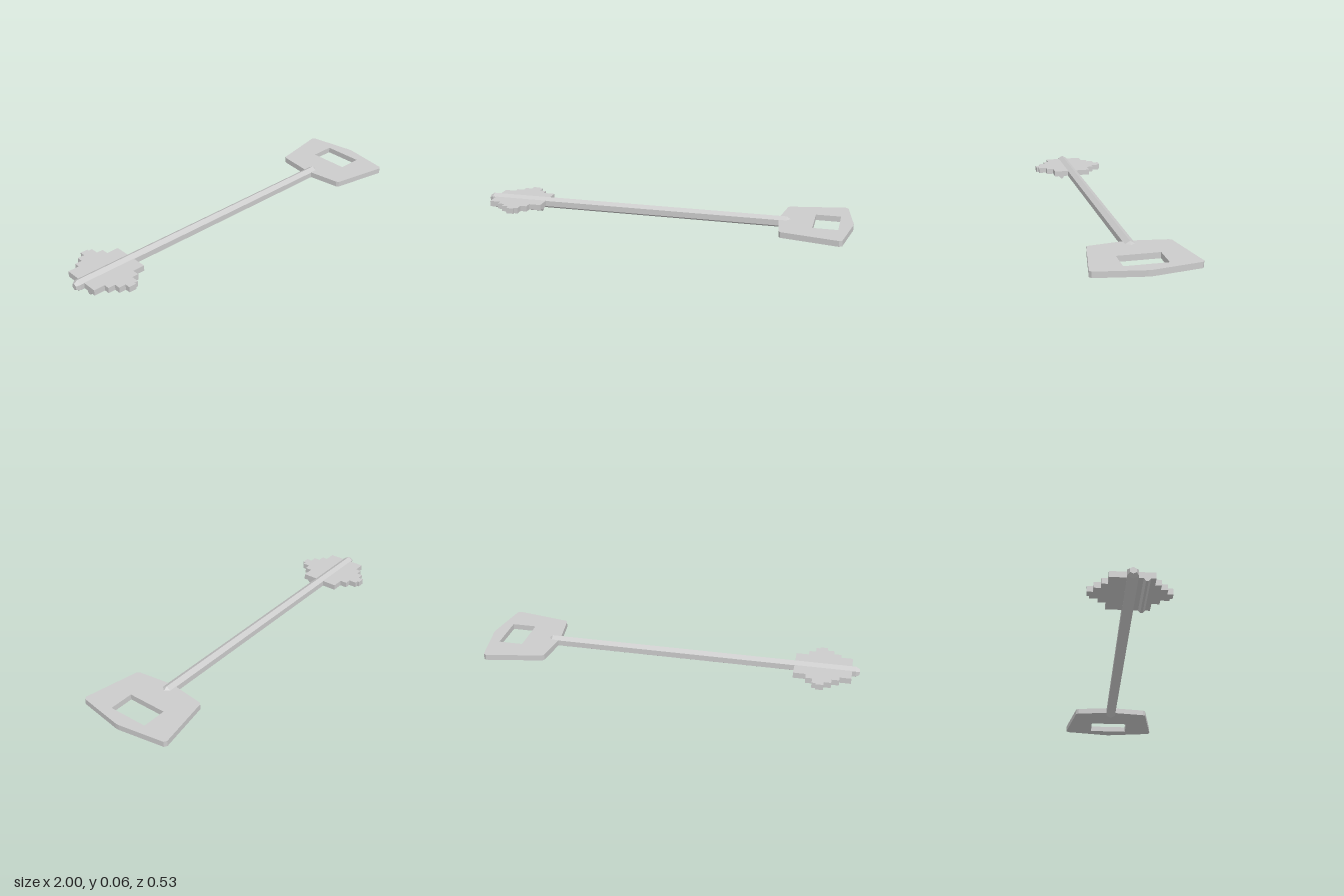
import * as THREE from 'three';

const material = new THREE.MeshStandardMaterial({ color: 0xcccccc, flatShading: true });
const PLATE_TOP = 0.047, PLATE_THICKNESS = 0.03;

const toShape = (pts) => new THREE.Shape(pts.map(([a, b]) => new THREE.Vector2(a, b)));

// Flat horizontal plate from an outline given as [x, z] points
function plate(name, outline, hole) {
  const shape = toShape(outline);
  if (hole) shape.holes.push(toShape(hole));
  const geo = new THREE.ExtrudeGeometry(shape, { depth: PLATE_THICKNESS, bevelEnabled: false });
  geo.rotateX(Math.PI / 2).translate(0, PLATE_TOP, 0);
  const mesh = new THREE.Mesh(geo, material);
  mesh.name = name;
  return mesh;
}

export function createModel() {
  const key = new THREE.Group();
  key.name = 'key';

  // Hexagonal shaft lying along x, with chamfered ends
  const profile = [[0, -1], [0.017, -1], [0.03, -0.98], [0.03, 0.66], [0.014, 0.682], [0, 0.682]];
  const shaftGeo = new THREE.LatheGeometry(
    profile.map(([r, y]) => new THREE.Vector2(r, y)), 6, Math.PI / 6);
  shaftGeo.rotateZ(-Math.PI / 2).translate(0, 0.031, 0);
  const shaft = new THREE.Mesh(shaftGeo, material);
  shaft.name = 'shaft';
  key.add(shaft);

  // Handle plate: one half outline, mirrored, with a rectangular hole
  const half = [[0.62, 0.025], [0.643, 0.195], [0.652, 0.208], [0.945, 0.263], [0.96, 0.253]];
  const mirrored = half.map(([x, z]) => [x, -z]).reverse();
  key.add(plate('handle', [...half, [1, 0.01], [1, -0.01], ...mirrored],
    [[0.8, -0.108], [0.93, -0.108], [0.93, 0.105], [0.8, 0.105]]));

  // Bit: stepped teeth on both sides, as [x where the step begins, height]
  const steps = [[-0.96, 0.105], [-0.9, 0.135], [-0.862, 0.168], [-0.825, 0.197],
    [-0.785, 0.185], [-0.765, 0.143], [-0.73, 0.105]];
  const bitEnd = -0.665;
  const edge = steps.flatMap(([x, h], i) => [[x, h], [i < 6 ? steps[i + 1][0] : bitEnd, h]]);
  const backEdge = edge.map(([x, h]) => [x, -h]).reverse();
  key.add(plate('bit', [...edge, ...backEdge]));

  // Ridge running along the underside of the bit
  const section = toShape([[-0.082, 0.018], [-0.07, 0.003], [-0.059, 0.003], [-0.048, 0.018]]);
  const ridgeGeo = new THREE.ExtrudeGeometry(section, { depth: bitEnd + 0.96, bevelEnabled: false });
  ridgeGeo.rotateY(Math.PI / 2).translate(-0.96, 0, 0);
  const ridge = new THREE.Mesh(ridgeGeo, material);
  ridge.name = 'bitRidge';
  key.add(ridge);

  return key;
}
